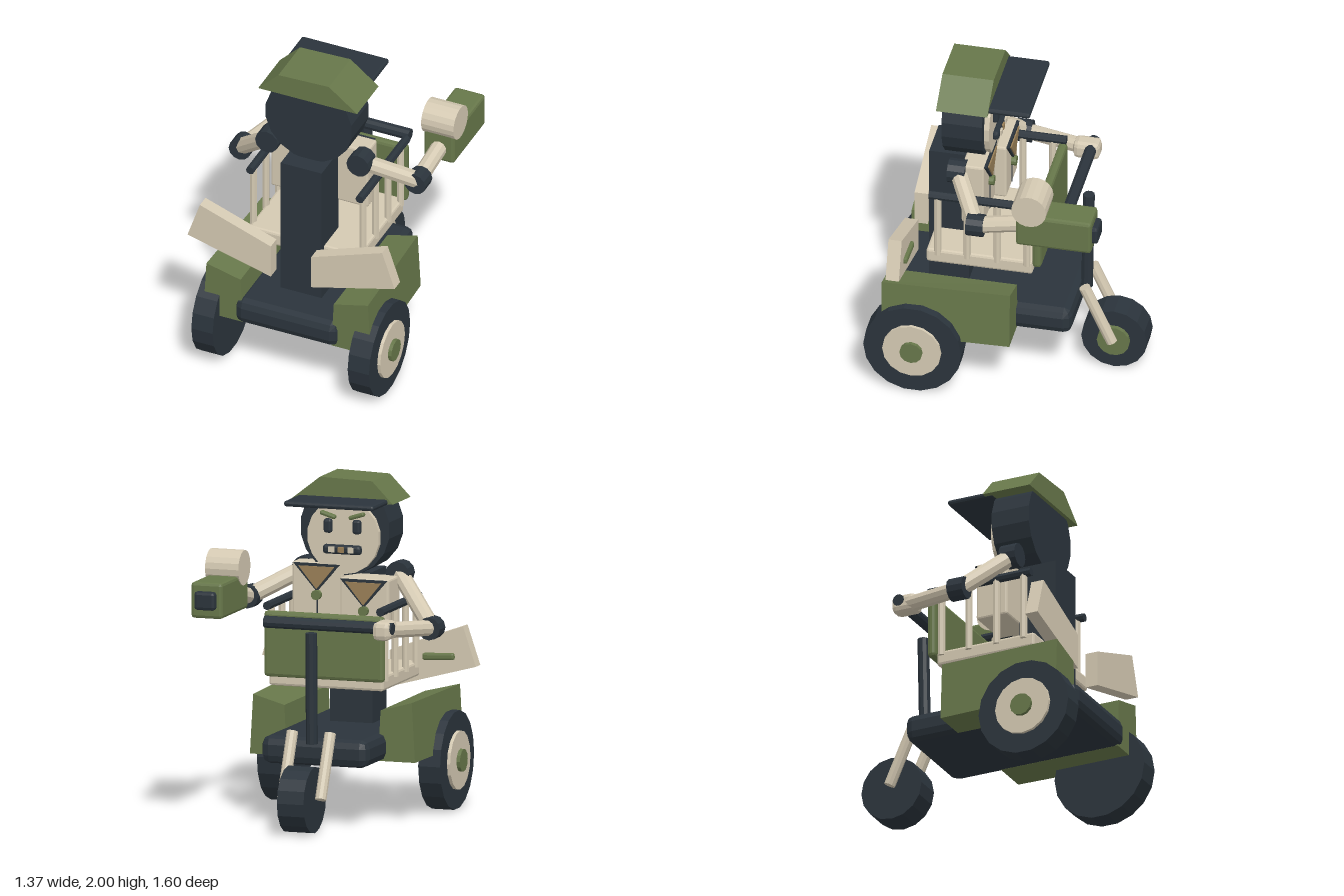
import * as THREE from 'three';
import { RoundedBoxGeometry } from 'three/addons/geometries/RoundedBoxGeometry.js';

const mat = (color, side = THREE.FrontSide) => new THREE.MeshStandardMaterial({ color, flatShading: true, side });
const dark = mat(0x2b343c), cream = mat(0xd4c9b2), green = mat(0x67774a), brown = mat(0x9a8058);
const MID = -0.016; // plane of symmetry of the vehicle

export function createModel() {
  const root = new THREE.Group();
  const add = (name, geo, m, x = 0, y = 0, z = 0, parent = root) => {
    const mesh = new THREE.Mesh(geo, m);
    mesh.name = name;
    mesh.position.set(x, y, z);
    parent.add(mesh);
    return mesh;
  };
  // box given by its limits, with optional chamfer
  const box = (name, m, [x0, x1], [y0, y1], [z0, z1], bevel = 0) => add(name,
    bevel ? new RoundedBoxGeometry(x1 - x0, y1 - y0, z1 - z0, 1, bevel)
      : new THREE.BoxGeometry(x1 - x0, y1 - y0, z1 - z0),
    m, (x0 + x1) / 2, (y0 + y1) / 2, (z0 + z1) / 2);
  // cylinder between two points
  const rod = (name, m, a, b, r, sides = 10) => {
    const p = new THREE.Vector3(...a), q = new THREE.Vector3(...b);
    const mesh = add(name, new THREE.CylinderGeometry(r, r, p.distanceTo(q), sides), m);
    mesh.position.copy(p).lerp(q, 0.5);
    mesh.quaternion.setFromUnitVectors(new THREE.Vector3(0, 1, 0), q.sub(p).normalize());
    return mesh;
  };
  // outline in x/y extruded from z0 to z1
  const slab = (name, m, pts, z0, z1) => {
    const shape = new THREE.Shape(pts.map(p => new THREE.Vector2(...p)));
    return add(name, new THREE.ExtrudeGeometry(shape, { depth: z1 - z0, bevelEnabled: false }), m, 0, 0, z0);
  };

  // chassis and rear wheels
  box('platform', dark, [-0.35, 0.318], [0.36, 0.525], [-0.395, 0.73], 0.05);
  for (const s of [-1, 1]) {
    const at = d => MID + s * d;
    rod('rearWheel', dark, [at(0.435), 0.294, 0.506], [at(0.572), 0.294, 0.506], 0.294, 18);
    rod('wheelDisc', cream, [at(0.56), 0.294, 0.506], [at(0.592), 0.294, 0.506], 0.176, 16);
    rod('wheelHub', green, [at(0.58), 0.294, 0.506], [at(0.614), 0.294, 0.506], 0.068, 12);

    // fender with sloping top, narrowing towards the steering end
    const fender = slab('fender', green,
      [[at(0.52), 0.715], [at(0.3), 0.66], [at(0.285), 0.36], [at(0.54), 0.36]], -0.065, 0.7);
    const pos = fender.geometry.attributes.position;
    for (let i = 0; i < pos.count; i++)
      if (pos.getZ(i) < 0.01 && Math.abs(pos.getX(i) - MID) > 0.4) pos.setX(i, pos.getX(i) - s * 0.025);

    // slanted tail boards with a small strip
    slab('tailBoard', cream,
      [[at(0.587), 1.08], [at(0.13), 0.915], [at(0.13), 0.698], [at(0.667), 0.843]], 0.565, 0.645);
    const strip = box('tailStrip', green, [at(0.437) - 0.1, at(0.437) + 0.1], [0.873, 0.915], [0.543, 0.575], 0.012);
    strip.rotation.z = s * 0.05;

    // fork legs
    rod('forkLeg', cream, [at(0.118), 0.57, -0.43], [at(0.118), 0.2, -0.595], 0.034);

    // railing
    for (const z of [0.4, 0.223, 0.042, -0.137])
      rod('railPost', cream, [at(0.353), 0.85, z], [at(0.353), 1.26, z], 0.022, 8);
    rod('handrail', dark, [at(0.353), 1.27, -0.22], [at(0.353), 1.27, 0.45], 0.026, 8);
    // shoulders
    rod('shoulder', dark, [at(0.294), 1.425, 0.24], [at(0.294), 1.425, 0.345], 0.073, 12);
  }

  // steering wheel, column and bar
  rod('frontWheel', dark, [MID - 0.083, 0.197, -0.6], [MID + 0.083, 0.197, -0.6], 0.197, 16);
  rod('frontHub', green, [0.06, 0.197, -0.6], [0.095, 0.197, -0.6], 0.098, 14);
  rod('steeringColumn', dark, [MID, 0.5, -0.42], [MID, 1.16, -0.432], 0.035);
  rod('handlebar', dark, [-0.5, 1.2, -0.358], [0.3, 1.2, -0.358], 0.036, 10);

  // basket
  box('basketFloor', cream, [-0.37, 0.345], [0.79, 0.88], [-0.17, 0.468], 0.015);
  box('basketPanel', green, [-0.39, 0.358], [0.85, 1.24], [-0.225, -0.17], 0.02);

  // spine and chest
  box('spine', dark, [-0.148, 0.116], [0.45, 1.425], [0.262, 0.5]);
  const chest = [
    { x0: -0.01, x1: 0.307, y0: 1.08, y1: 1.485, z0: 0.13, z1: 0.265 },
    { x0: -0.32, x1: -0.015, y0: 1.06, y1: 1.415, z0: 0.065, z1: 0.265 },
  ];
  for (const c of chest) {
    const mx = (c.x0 + c.x1) / 2;
    box('chestPanel', cream, [c.x0, c.x1], [c.y0, c.y1], [c.z0, c.z1], 0.012);
    const tri = (w, d) => [[mx - w, c.y1 - d], [mx, c.y1 - 0.175 + d], [mx + w, c.y1 - d]];
    slab('lapelBorder', dark, tri(0.145, 0.005), c.z0 - 0.014, c.z0 + 0.005);
    slab('lapel', brown, tri(0.112, 0.02), c.z0 - 0.022, c.z0);
    rod('medallion', green, [mx, c.y1 - 0.19, c.z0 - 0.03], [mx, c.y1 - 0.19, c.z0 + 0.005], 0.03, 10);
    box('chestSeam', dark, [mx - 0.004, mx + 0.004], [c.y0 + 0.01, c.y1 - 0.21], [c.z0 - 0.004, c.z0 + 0.005]);
  }

  // head and face
  rod('head', dark, [MID, 1.695, 0.152], [MID, 1.695, 0.395], 0.28, 18);
  rod('face', cream, [MID, 1.65, 0.12], [MID, 1.65, 0.17], 0.225, 18);
  for (const s of [-1, 1]) {
    const x = MID + s * 0.09;
    box('eye', dark, [x - 0.026, x + 0.026], [1.67, 1.755], [0.09, 0.13], 0.015);
    const brow = box('brow', green, [x - 0.05, x + 0.05], [1.765, 1.79], [0.09, 0.13], 0.01);
    brow.rotation.z = s * 0.3;
  }
  box('mouth', dark, [MID - 0.12, MID + 0.12], [1.547, 1.603], [0.085, 0.13], 0.018);
  for (let i = -1; i <= 1; i++)
    box('tooth', i ? cream : brown, [MID + i * 0.06 - 0.018, MID + i * 0.06 + 0.018], [1.56, 1.592], [0.076, 0.1]);

  // cap
  slab('cap', green, [[-0.33, 1.858], [0.307, 1.858], [0.125, 2.0], [-0.2, 1.99]], 0.11, 0.418);
  box('visor', dark, [-0.297, 0.265], [1.852, 1.885], [-0.137, 0.16], 0.014);

  // steering arm
  const elbowA = [-0.583, 1.145, 0.08], hand = [-0.44, 1.185, -0.33];
  rod('upperArm', cream, [-0.307, 1.425, 0.29], elbowA, 0.052);
  rod('elbow', dark, [-0.583, 1.145, 0.03], [-0.583, 1.145, 0.13], 0.068, 12);
  rod('forearm', cream, elbowA, hand, 0.048);
  box('hand', cream, [-0.495, -0.383], [1.13, 1.24], [-0.41, -0.25], 0.03);

  // raised arm with camera
  const elbowB = [0.567, 1.265, 0.122];
  rod('upperArm', cream, [0.28, 1.425, 0.29], elbowB, 0.052);
  rod('elbow', dark, [0.567, 1.265, 0.07], [0.567, 1.265, 0.172], 0.068, 12);
  rod('forearm', cream, elbowB, [0.581, 1.33, -0.16], 0.05);
  box('cameraBody', green, [0.482, 0.678], [1.237, 1.45], [-0.595, -0.14], 0.018);
  rod('cameraReel', cream, [0.477, 1.49, -0.222], [0.685, 1.49, -0.222], 0.105, 18);
  box('cameraLens', dark, [0.517, 0.648], [1.29, 1.4], [-0.63, -0.57], 0.018);

  return root;
}
